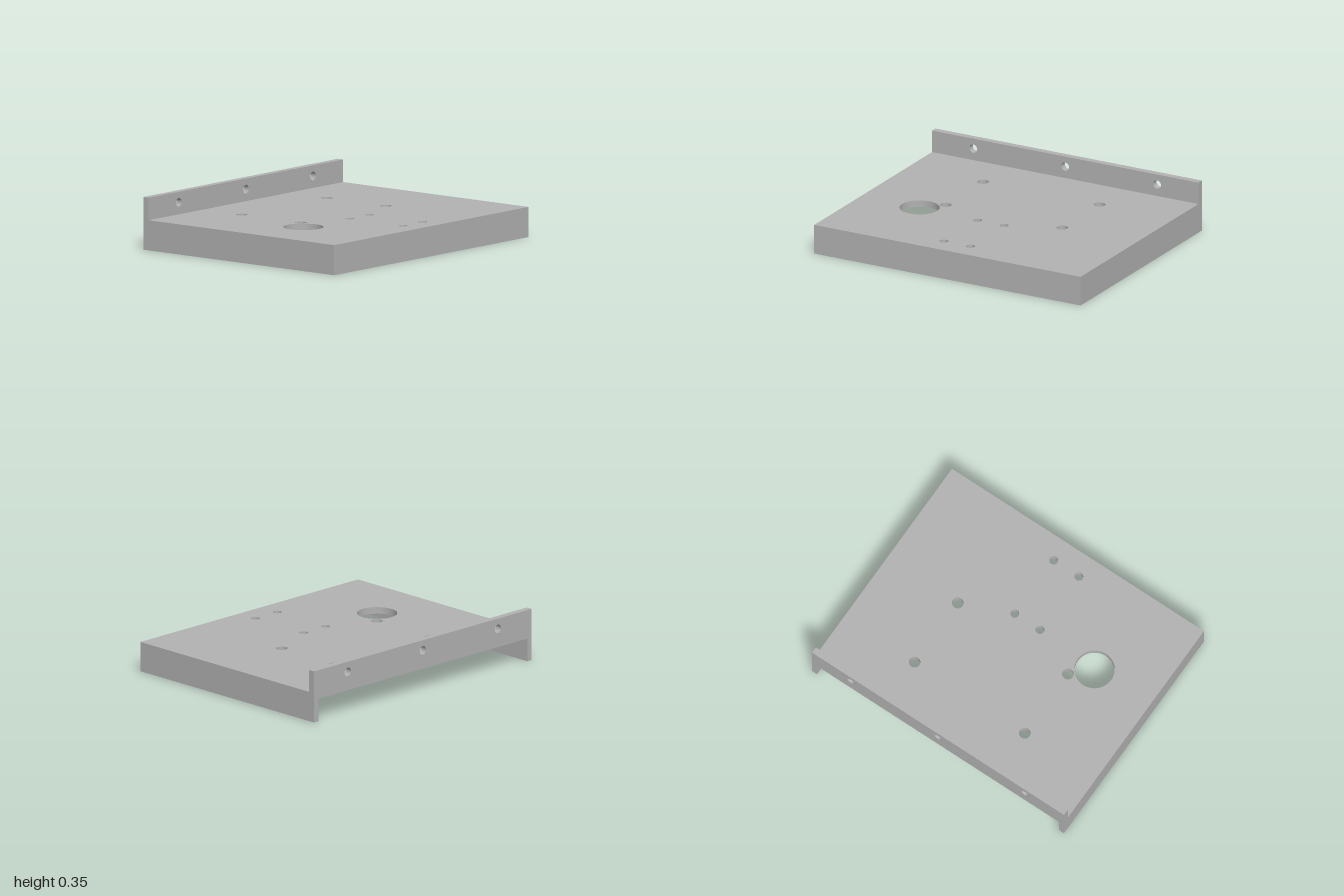
import * as THREE from 'three';

const W = 1.62, L = 2, TOP = 0.2, T = 0.045, WALL = 0.04;
const UNDER = TOP - T; // underside of the deck

// Rectangular sheet with round holes given as [x, y, radius]
function sheet(x0, y0, x1, y1, holes, depth) {
  const s = new THREE.Shape([
    new THREE.Vector2(x0, y0), new THREE.Vector2(x1, y0),
    new THREE.Vector2(x1, y1), new THREE.Vector2(x0, y1),
  ]);
  for (const [x, y, r] of holes) {
    s.holes.push(new THREE.Path().absarc(x, y, r, 0, Math.PI * 2, true));
  }
  return new THREE.ExtrudeGeometry(s, { depth, bevelEnabled: false, curveSegments: 40 });
}

export function createModel() {
  const group = new THREE.Group();
  const metal = new THREE.MeshStandardMaterial({ color: 0xb2b2b2 });
  metal.name = 'grey metal';

  const add = (name, geometry, x = 0, y = 0, z = 0) => {
    const mesh = new THREE.Mesh(geometry, metal);
    mesh.name = name;
    mesh.position.set(x, y, z);
    group.add(mesh);
  };

  // Deck: one large opening, four mounting holes and four small holes
  const deckHoles = [[0.185, -0.56, 0.132]];
  for (const x of [-0.44, 0.06]) for (const z of [-0.44, 0.435]) deckHoles.push([x, -z, 0.038]);
  for (const x of [0.21, 0.66]) for (const z of [-0.09, 0.11]) deckHoles.push([x, -z, 0.029]);
  const deck = sheet(-W / 2 + T, -L / 2, W / 2, L / 2, deckHoles, T);
  deck.rotateX(-Math.PI / 2);
  add('deck', deck, 0, UNDER, 0);

  // Upright flange along the right edge, with three holes
  const flangeHoles = [-0.69, 0, 0.69].map((z) => [z, 0.28, 0.029]);
  const flange = sheet(-L / 2, UNDER, L / 2, 0.35, flangeHoles, T);
  flange.rotateY(Math.PI / 2);
  add('flange', flange, -W / 2, 0, 0);

  // Skirt walls below the deck on three sides; the flange side stays open
  for (const [name, side] of [['frontWall', 1], ['backWall', -1]]) {
    add(name, new THREE.BoxGeometry(W, UNDER, WALL), 0, UNDER / 2, side * (L - WALL) / 2);
  }
  add('sideWall', new THREE.BoxGeometry(WALL, UNDER, L - 2 * WALL), (W - WALL) / 2, UNDER / 2, 0);

  return group;
}
